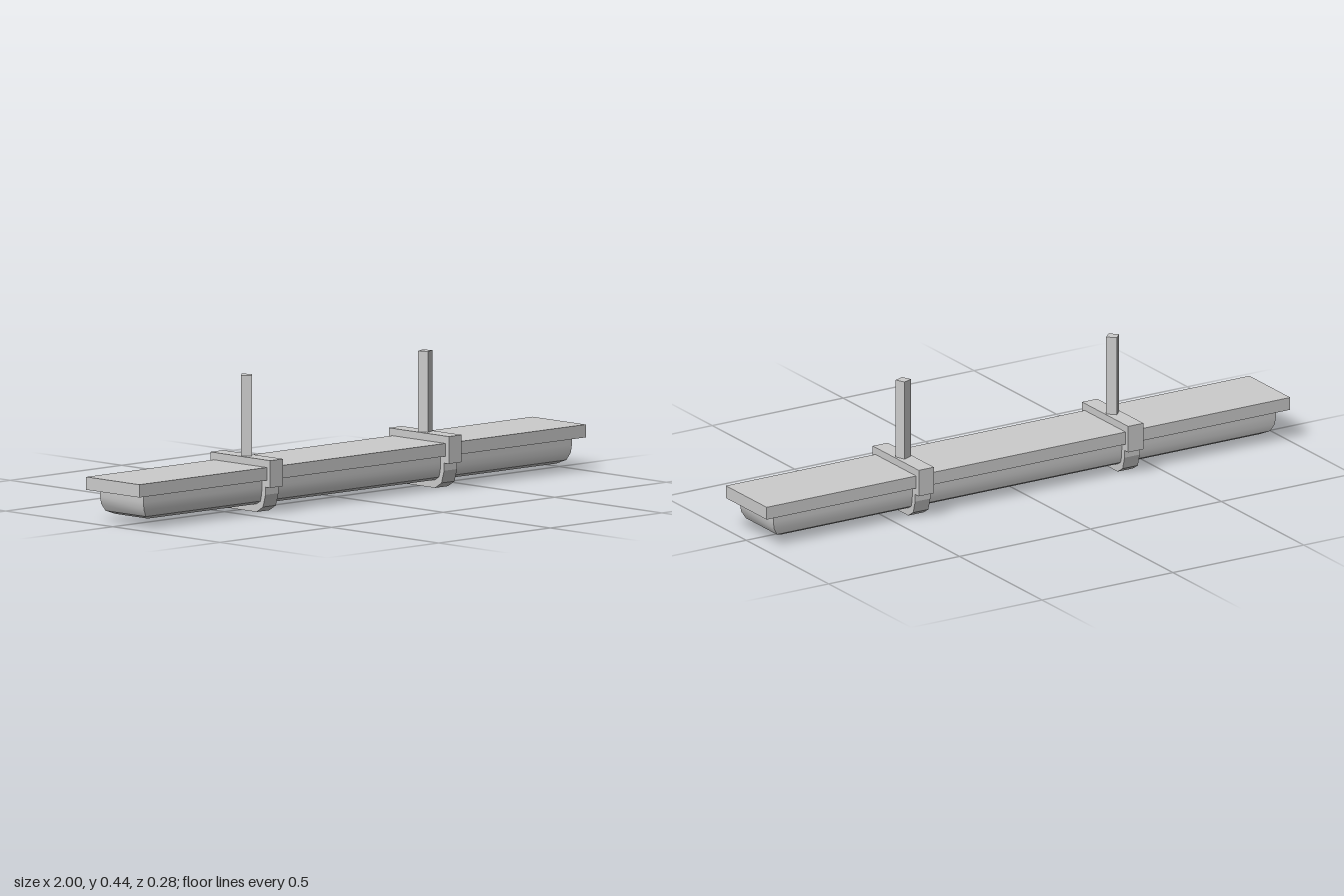
import * as THREE from 'three';
import { toCreasedNormals } from 'three/addons/utils/BufferGeometryUtils.js';

const grey = new THREE.MeshStandardMaterial({ color: 0xcccccc });

function part(name, geometry, x = 0, y = 0, z = 0) {
  const mesh = new THREE.Mesh(geometry, grey);
  mesh.name = name;
  mesh.position.set(x, y, z);
  return mesh;
}

// Closed solid through stacked rectangles [halfX, y, halfZ], listed from the top down
function rectLoft(levels) {
  const positions = [], index = [];
  for (const [hx, y, hz] of levels) positions.push(-hx, y, hz, hx, y, hz, hx, y, -hz, -hx, y, -hz);
  for (let i = 0; i < levels.length - 1; i++) {
    for (let j = 0; j < 4; j++) {
      const a = i * 4 + j, b = i * 4 + (j + 1) % 4;
      index.push(a, a + 4, b + 4, a, b + 4, b);
    }
  }
  const n = (levels.length - 1) * 4;
  index.push(0, 1, 2, 0, 2, 3, n, n + 2, n + 1, n, n + 3, n + 2);
  const geometry = new THREE.BufferGeometry();
  geometry.setAttribute('position', new THREE.Float32BufferAttribute(positions, 3));
  geometry.setIndex(index);
  return toCreasedNormals(geometry, Math.PI / 6);
}

// Strap outline in z and y, mirrored, extruded along x
function clampGeometry(width) {
  const half = [[0.14, 0.174], [0.14, 0.085], [0.118, 0.085], [0.118, 0.06], [0.106, 0.019], [0.076, 0]];
  const mirrored = half.map(([z, y]) => [-z, y]).reverse();
  const shape = new THREE.Shape([...half, ...mirrored].map(([z, y]) => new THREE.Vector2(z, y)));
  const geometry = new THREE.ExtrudeGeometry(shape, { depth: width, bevelEnabled: false });
  geometry.translate(0, 0, -width / 2);
  geometry.rotateY(Math.PI / 2);
  return geometry;
}

export function createModel() {
  const model = new THREE.Group();
  model.name = 'hangingLamp';

  // Flat top housing and the rounded tray below it
  model.add(part('housing', new THREE.BoxGeometry(2, 0.042, 0.248), 0, 0.129, 0));
  model.add(part('diffuser', rectLoft([
    [0.96, 0.11, 0.101], [0.96, 0.085, 0.101], [0.956, 0.06, 0.1], [0.942, 0.037, 0.094], [0.915, 0.026, 0.075],
  ])));

  // Two clamps, each with a square hanging rod turned by its own angle
  const clamp = clampGeometry(0.058);
  for (const [side, x, turn] of [['right', -0.4, Math.PI / 4], ['left', 0.4, Math.PI / 8]]) {
    model.add(part(side + 'Clamp', clamp, x));
    const rod = part(side + 'Rod', new THREE.BoxGeometry(0.035, 0.268, 0.035), x, 0.304, 0);
    rod.rotation.y = turn;
    model.add(rod);
  }
  return model;
}
